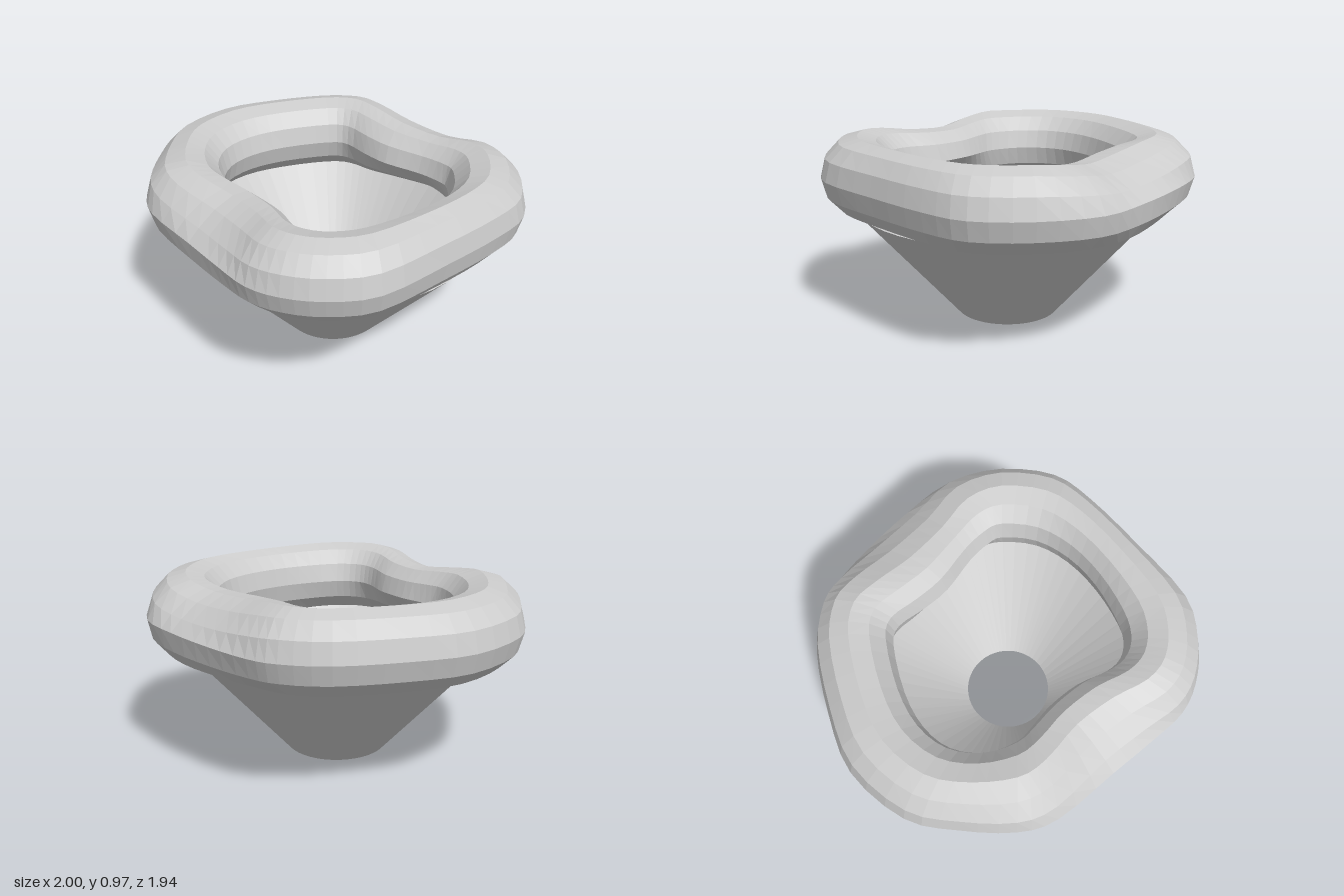
import * as THREE from 'three';

const STATIONS = 66; // steps around the rim
const SIDES = 12;    // facets around the rim section

// Rim plan, from the back by way of -x: inner x, inner z, outer x, outer z, dent
const PLAN = [
  [-0.07, -0.56, -0.10, -0.97, 0], [-0.18, -0.55, -0.33, -0.91, 0],
  [-0.40, -0.41, -0.62, -0.73, 0], [-0.54, -0.26, -0.86, -0.52, 0],
  [-0.60, -0.10, -0.99, -0.20, 0], [-0.57, 0.07, -0.965, 0.06, 0],
  [-0.47, 0.20, -0.89, 0.33, 0], [-0.37, 0.25, -0.77, 0.50, 0.4],
  [-0.25, 0.30, -0.48, 0.69, 1], [-0.10, 0.40, -0.26, 0.835, 0.8],
  [0.01, 0.52, -0.09, 0.935, 0.25], [0.10, 0.57, 0.08, 0.965, 0],
  [0.20, 0.56, 0.28, 0.935, 0], [0.31, 0.49, 0.50, 0.82, 0],
  [0.46, 0.34, 0.72, 0.50, 0], [0.57, 0.16, 0.91, 0.19, 0],
  [0.615, -0.03, 1.00, -0.04, 0], [0.58, -0.21, 0.95, -0.33, 0],
  [0.52, -0.27, 0.80, -0.60, 0.4], [0.40, -0.33, 0.57, -0.745, 1],
  [0.20, -0.39, 0.30, -0.87, 0.8], [0.06, -0.47, 0.06, -0.955, 0.25],
];
const closedCurve = (points) => new THREE.CatmullRomCurve3(points, true, 'catmullrom', 0.5);
const inner = closedCurve(PLAN.map((p) => new THREE.Vector3(p[0], 0, p[1])));
const outer = closedCurve(PLAN.map((p) => new THREE.Vector3(p[2], p[4], p[3]))); // y carries the dent

// Section change at a dent, counted from the outermost ring over the top:
// the top leans in and sinks, the underside stays out over the funnel
const SHIFT = [0, -0.035, -0.05, -0.045, -0.02, 0, 0, 0.05, 0.08, 0.08, 0.05, 0.02];
const SINK = [0, 0.045, 0.055, 0.045, 0.025, 0.01, 0, 0, 0, 0, 0, 0];

// Surface through closed sections placed around a closed loop
function loft(sectionAt) {
  const positions = [], index = [];
  let n = 0;
  for (let i = 0; i < STATIONS; i++) {
    const section = sectionAt(i / STATIONS);
    n = section.length;
    section.forEach((p) => positions.push(p.x, p.y, p.z));
  }
  for (let i = 0; i < STATIONS; i++) {
    for (let j = 0; j < n; j++) {
      const a = i * n + j, b = i * n + (j + 1) % n;
      const next = ((i + 1) % STATIONS) * n;
      const c = next + j, d = next + (j + 1) % n;
      index.push(a, c, b, c, d, b);
    }
  }
  const geometry = new THREE.BufferGeometry();
  geometry.setAttribute('position', new THREE.Float32BufferAttribute(positions, 3));
  geometry.setIndex(index);
  geometry.computeVertexNormals();
  return geometry;
}

// Fat tubular rim with two dents
function rimSection(t) {
  const a = inner.getPoint(t), b = outer.getPoint(t);
  const dent = Math.max(0, b.y);
  b.y = 0;
  const mid = a.clone().add(b).multiplyScalar(0.5);
  const half = b.clone().sub(a).multiplyScalar(0.5);
  const out = half.clone().normalize();
  return Array.from({ length: SIDES }, (_, j) => {
    const phi = (j / SIDES) * Math.PI * 2;
    const p = mid.clone().addScaledVector(half, Math.cos(phi)).addScaledVector(out, SHIFT[j] * dent);
    p.y = 0.77 + 0.2 * Math.sin(phi) - SINK[j] * dent;
    return p;
  });
}

// Hollow cone wall: round at the foot, easing slightly towards the rim's plan at the top
function funnelSection(t) {
  const mid = inner.getPoint(t).add(outer.getPoint(t)).multiplyScalar(0.5);
  const dx = mid.x - 0.02, dz = mid.z;
  const reach = Math.hypot(dx, dz);
  const top = 0.68 + reach * 0.15;
  const at = (r, y) => new THREE.Vector3(0.02 + (dx / reach) * r, y, (dz / reach) * r);
  return [at(0.275, 0), at(top, 0.59), at(top - 0.04, 0.6), at(0.24, 0)];
}

export function createModel() {
  const group = new THREE.Group();
  const material = new THREE.MeshStandardMaterial({ color: 0xcccccc, flatShading: true });
  for (const [name, section] of [['rim', rimSection], ['funnel', funnelSection]]) {
    const mesh = new THREE.Mesh(loft(section), material);
    mesh.name = name;
    group.add(mesh);
  }
  return group;
}
